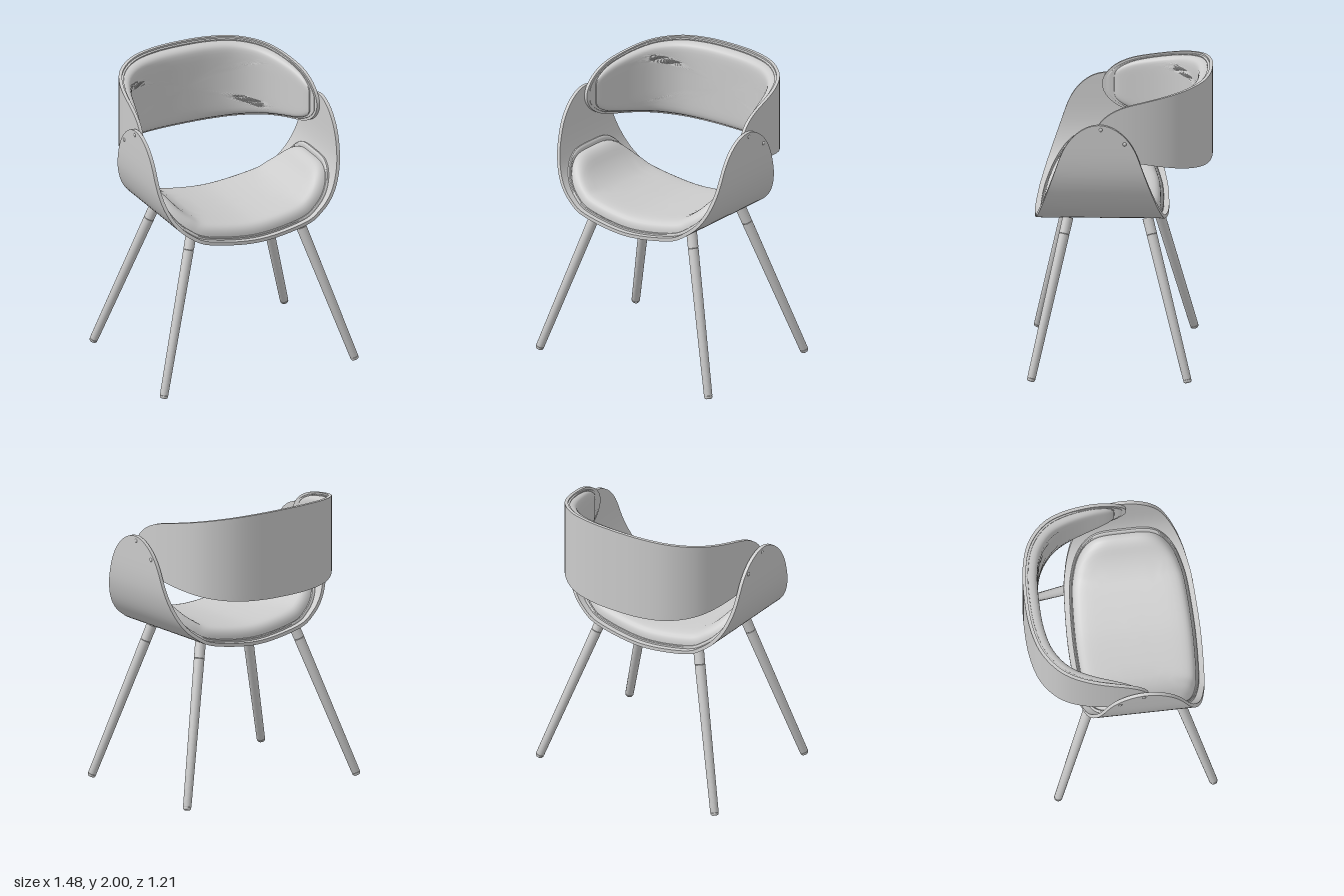
import * as THREE from 'three';
import { toCreasedNormals } from 'three/addons/utils/BufferGeometryUtils.js';

const material = new THREE.MeshStandardMaterial({ color: 0xcccccc, side: THREE.DoubleSide });

// Sharp edges stay sharp; scaled up meanwhile so that thin details are not merged
function crease(geometry) {
  geometry.scale(50, 50, 50);
  const g = toCreasedNormals(geometry, 0.6);
  return g.scale(1 / 50, 1 / 50, 1 / 50);
}

function addMesh(parent, name, geometry) {
  const mesh = new THREE.Mesh(geometry, material);
  mesh.name = name;
  parent.add(mesh);
  return mesh;
}

// Skins rows of points; each row is a closed loop
function loft(rows) {
  const n = rows[0].length, index = [];
  for (let i = 0; i < rows.length - 1; i++) {
    for (let j = 0; j < n; j++) {
      const a = i * n + j, b = i * n + (j + 1) % n;
      index.push(a, a + n, b + n, a, b + n, b);
    }
  }
  const g = new THREE.BufferGeometry().setFromPoints(rows.flat());
  g.setIndex(index);
  return crease(g);
}

// Smooth symmetric curve from its half, given from the middle outwards
function mirroredCurve(half, dir) {
  const pts = [
    ...half.slice(1).reverse().map(([x, y]) => new THREE.Vector2(-x * dir, y)),
    ...half.map(([x, y]) => new THREE.Vector2(x * dir, y)),
  ];
  const curve = new THREE.SplineCurve(pts);
  curve.arcLengthDivisions = 600;
  return curve;
}

// Straight taper that ends in a rounded tip
function taper(v, start, width, slope, capStart, capEnd) {
  const q = THREE.MathUtils.clamp((v - capStart) / (capEnd - capStart), 0, 1);
  return (width - slope * (v - start)) * Math.sqrt(1 - q ** 3);
}

// Bent plywood: t along the curve, w across it (-1..1), h thickness inwards
const seatCurve = mirroredCurve(
  [[0, 1.0], [0.35, 1.043], [0.493, 1.11], [0.593, 1.207], [0.657, 1.34], [0.687, 1.5], [0.695, 1.77]], 1);
function seatPoint(t, w, h) {
  const p = seatCurve.getPointAt(t), d = seatCurve.getTangentAt(t);
  const half = t === 0 || t === 1 ? 0 : taper(p.y, 1, 0.446, 0.342, 1.5, 1.77);
  return new THREE.Vector3(p.x - d.y * h, p.y + d.x * h, 0.13 + w * half);
}

const backCurve = mirroredCurve(
  [[0, -0.607], [0.2, -0.595], [0.38, -0.545], [0.52, -0.44], [0.6, -0.3], [0.648, -0.1], [0.668, 0.15]], -1);
function backPoint(t, w, h) {
  const p = backCurve.getPointAt(t), d = backCurve.getTangentAt(t);
  const half = t === 0 || t === 1 ? 0 : taper(p.y, -0.607, 0.3, 0.2, -0.15, 0.15);
  return new THREE.Vector3(p.x + d.y * h, 1.7 + w * half, p.y - d.x * h);
}

function plywood(point, thickness, steps = 96, across = 12) {
  const rows = [];
  for (let i = 0; i <= steps; i++) {
    const t = i === steps ? 1 : 0.5 - 0.5 * Math.cos(Math.PI * i / steps);
    const row = [];
    for (let j = 0; j <= across; j++) row.push(point(t, -1 + 2 * j / across, 0));
    for (let j = across; j >= 0; j--) row.push(point(t, -1 + 2 * j / across, thickness));
    rows.push(row);
  }
  return loft(rows);
}

// Cushion: rounded-rectangle rings shrinking to the middle, with a piped edge
const cushionProfile = [
  [1, 0], [1, 0.14], [0.99, 0.2], [0.975, 0.21], [0.962, 0.16], [0.955, 0.16], [0.953, 0.35],
  [0.94, 0.55], [0.92, 0.7], [0.89, 0.83], [0.85, 0.91], [0.8, 0.96], [0.72, 0.99],
  [0.6, 1], [0.45, 1], [0.3, 1], [0.15, 1], [0, 1],
];
function cushion(point, { base, height, length, width, power, thinning }) {
  const n = 40, outline = [];
  for (let side = 0; side < 4; side++) {
    for (let k = 0; k < n; k++) {
      let a = 1, b = -1 + 2 * k / n;
      for (let r = 0; r < side; r++) [a, b] = [-b, a];
      const s = (Math.abs(a) ** power + Math.abs(b) ** power) ** (-1 / power);
      outline.push([a * s, b * s]);
    }
  }
  return loft(cushionProfile.map(([r, h]) => outline.map(([a, b]) => {
    const u = a * r;
    return point(0.5 + 0.5 * length * u, b * r * width, base + h * height * (1 - thinning * u * u));
  })));
}

// Turned leg with a groove below its collar and a rounded foot
function leg(top, foot) {
  const axis = top.clone().sub(foot), len = axis.length();
  const radius = (y) => 0.028 + 0.008 * y / len;
  const g = len - 0.115;
  const profile = [
    [0, 0], [0.018, 0], [0.024, 0.004], [0.0275, 0.012], [0.0275, 0.018], [0.026, 0.02], [0.028, 0.023],
    [radius(g), g], [radius(g) - 0.002, g + 0.002], [radius(g), g + 0.004], [0.036, len], [0, len],
  ].map(([x, y]) => new THREE.Vector2(x, y));
  const geometry = crease(new THREE.LatheGeometry(profile, 28));
  geometry.applyQuaternion(new THREE.Quaternion().setFromUnitVectors(
    new THREE.Vector3(0, 1, 0), axis.normalize()));
  return geometry.translate(foot.x, foot.y, foot.z);
}

export function createModel() {
  const chair = new THREE.Group();
  chair.name = 'chair';

  // Seat shell with its side arms, and seat cushion
  addMesh(chair, 'seatShell', plywood(seatPoint, 0.024));
  addMesh(chair, 'seatCushion', cushion(seatPoint, {
    base: 0.023, height: 0.095, length: 0.675, width: 0.92, power: 4.5, thinning: 0 }));

  // Wraparound backrest and its padding
  addMesh(chair, 'backrestShell', plywood(backPoint, 0.022));
  addMesh(chair, 'backrestCushion', cushion(backPoint, {
    base: 0.021, height: 0.08, length: 0.975, width: 0.96, power: 8, thinning: 0.65 }));

  for (const side of [1, -1]) {
    const prefix = side > 0 ? 'left' : 'right';

    // Splayed legs
    addMesh(chair, prefix + 'FrontLeg', leg(
      new THREE.Vector3(side * 0.387, 1.055, 0.345), new THREE.Vector3(side * 0.715, 0.008, 0.583)));
    addMesh(chair, prefix + 'RearLeg', leg(
      new THREE.Vector3(side * 0.387, 1.055, -0.187), new THREE.Vector3(side * 0.715, 0.008, -0.465)));

    // Domed screws joining the arms to the backrest
    for (const [y, z] of [[1.74, 0.117], [1.642, -0.042]]) {
      const screw = addMesh(chair, prefix + 'Screw', new THREE.SphereGeometry(0.013, 16, 10));
      screw.scale.x = 0.6;
      screw.position.set(side * 0.693, y, z);
    }
  }
  return chair;
}
